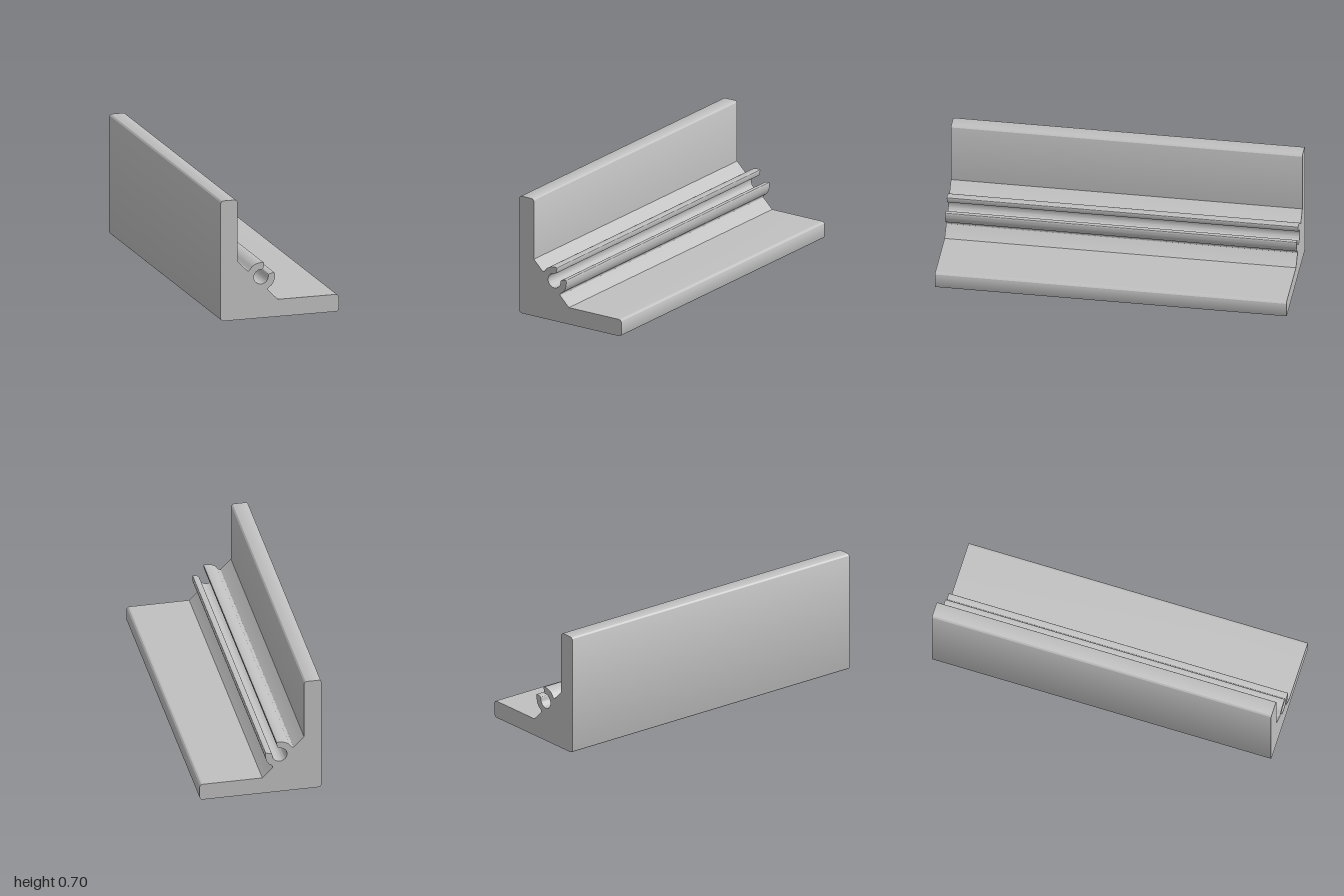
import * as THREE from 'three';
import { toCreasedNormals } from 'three/addons/utils/BufferGeometryUtils.js';

const LEG = 0.7;      // height and width of the angle
const LENGTH = 2;
const R = 0.018;      // rounded corner radius

// Half of the symmetric profile: outer corner, upright leg, chamfer, upper clip jaw
function halfProfile() {
  const L = -LEG / 2, cx = -0.11, cy = 0.24;
  const p = new THREE.Path();
  p.absarc(L + R, R, R, Math.PI * 1.25, Math.PI, true);
  p.absarc(L + R, LEG - R, R, Math.PI, Math.PI / 2, true);
  p.absarc(-0.25 - R, LEG - R, R, Math.PI / 2, 0, true);
  p.lineTo(-0.25, 0.34);
  // chamfer and rounded root of the clip
  p.lineTo(-0.196, 0.286);
  p.quadraticCurveTo(-0.187, 0.2745, -0.176, 0.285);
  // outside of the jaw, its rounded lip, then the round channel
  p.absarc(cx, cy, 0.082, 2.32, Math.PI / 2, true);
  p.lineTo(-0.099, 0.322);
  p.quadraticCurveTo(-0.09, 0.322, -0.092, 0.312);
  p.lineTo(-0.097, 0.291);
  p.quadraticCurveTo(-0.099, 0.283, -0.109, 0.2825);
  p.absarc(cx, cy, 0.0425, Math.PI / 2, Math.PI * 1.25, false);
  return p.getPoints(16);
}

export function createModel() {
  const group = new THREE.Group();
  group.name = 'angleProfile';
  const metal = new THREE.MeshStandardMaterial({ color: 0xc0c0c0 });
  metal.name = 'light grey metal';

  // Mirror the half across the 45 degree line to close the outline
  const half = halfProfile();
  const mirrored = half.slice(1, -1).reverse()
    .map(v => new THREE.Vector2(v.y - LEG / 2, v.x + LEG / 2));
  const outline = new THREE.Shape([...half, ...mirrored]);

  const geometry = new THREE.ExtrudeGeometry(outline, { depth: LENGTH, bevelEnabled: false });
  geometry.translate(0, 0, -LENGTH / 2);
  const bar = new THREE.Mesh(toCreasedNormals(geometry, 0.5), metal);
  bar.name = 'angleBarWithClip';
  group.add(bar);
  return group;
}
